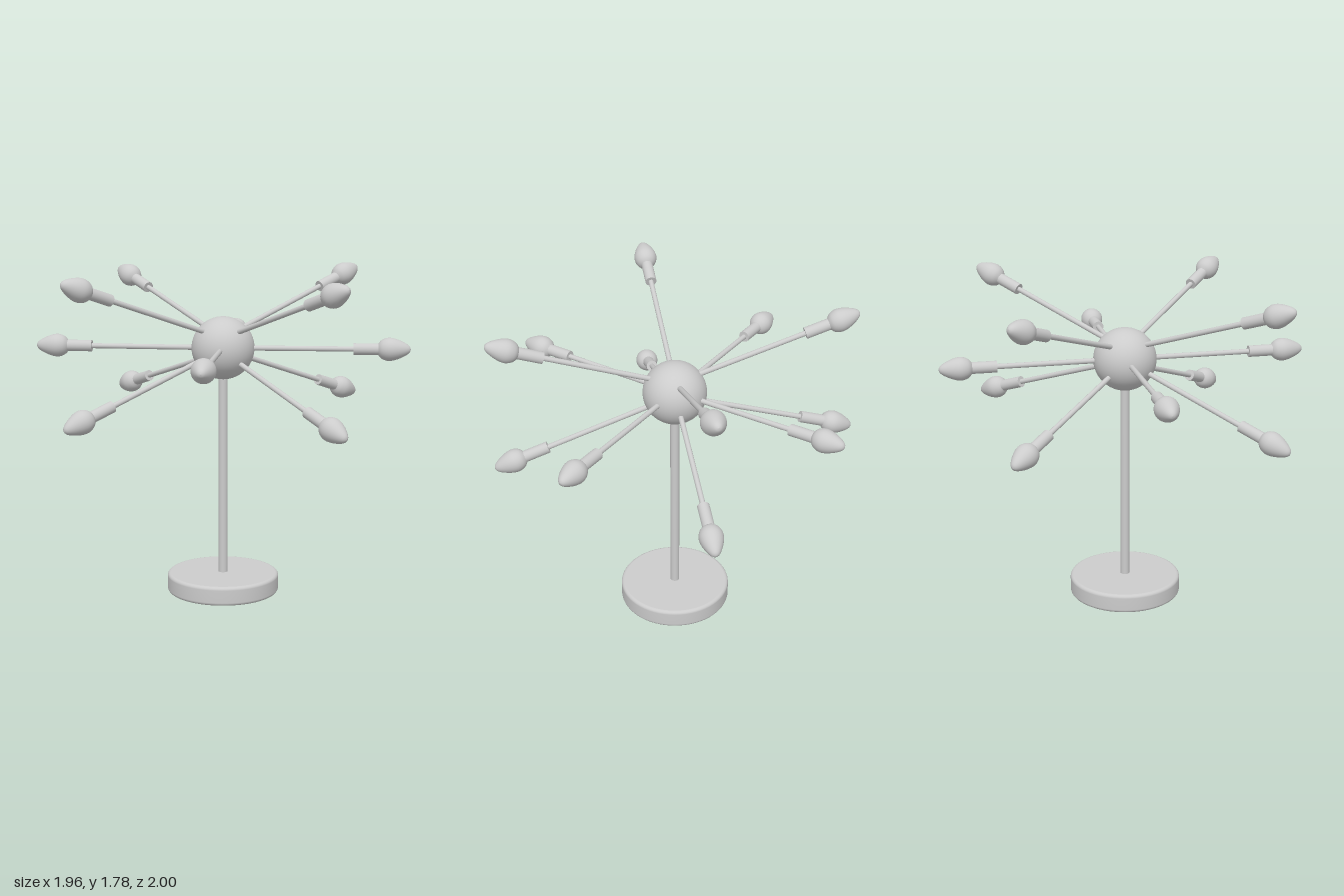
import * as THREE from 'three';

const material = new THREE.MeshStandardMaterial({ color: 0xcccccc });
const UP = new THREE.Vector3(0, 1, 0);
const CX = 0.005, CZ = -0.01, HUB_Y = 1.357;

function part(name, geometry, parent, x = 0, y = 0, z = 0) {
  const mesh = new THREE.Mesh(geometry, material);
  mesh.name = name;
  mesh.position.set(x, y, z);
  parent.add(mesh);
  return mesh;
}

// Pointed bulb: fat near the socket, rounded narrow tip, 0.175 long
function bulbGeometry() {
  const curve = new THREE.SplineCurve([
    [0.028, 0], [0.05, 0.02], [0.062, 0.055], [0.056, 0.095],
    [0.037, 0.14], [0.018, 0.167], [0, 0.175],
  ].map(([r, y]) => new THREE.Vector2(r, y)));
  const points = curve.getPoints(24);
  points.forEach((p) => { p.x = Math.max(p.x, 0); });
  return new THREE.LatheGeometry([new THREE.Vector2(0, 0), ...points], 28);
}

export function createModel() {
  const model = new THREE.Group();
  model.name = 'burstLamp';

  // Round base with softened rims
  const R = 0.307, H = 0.105, b = 0.018;
  const profile = [new THREE.Vector2(0, 0), new THREE.Vector2(R - b, 0)];
  for (let i = 0; i <= 4; i++) {
    const a = -Math.PI / 2 + (i / 4) * Math.PI / 2;
    profile.push(new THREE.Vector2(R - b + b * Math.cos(a), b + b * Math.sin(a)));
  }
  for (let i = 0; i <= 4; i++) {
    const a = (i / 4) * Math.PI / 2;
    profile.push(new THREE.Vector2(R - b + b * Math.cos(a), H - b + b * Math.sin(a)));
  }
  profile.push(new THREE.Vector2(R - b, H), new THREE.Vector2(0, H));
  part('base', new THREE.LatheGeometry(profile, 64), model, CX, 0, CZ);

  // Pole and central ball
  part('pole', new THREE.CylinderGeometry(0.025, 0.025, 1.25, 24), model, CX, 0.7, CZ);
  part('hub', new THREE.SphereGeometry(0.17, 40, 28), model, CX, HUB_Y, CZ);

  // Arms: tip x, tip y, tip z, height where the rod leaves the hub axis
  const arms = [
    [0.975, 1.735, -0.012, 1.41], [-0.98, 1.73, -0.012, 1.41],
    [0.975, 1.0, -0.012, 1.335], [-0.98, 1.035, -0.012, 1.335],
    [-0.003, 1.75, 0.995, 1.41], [-0.003, 1.75, -1.0, 1.41],
    [-0.003, 1.015, 0.995, 1.35], [-0.003, 1.02, -1.0, 1.35],
    [0.70, 1.36, -0.735, HUB_Y], [-0.715, 1.36, -0.695, HUB_Y],
    [0.715, 1.36, 0.685, HUB_Y], [-0.705, 1.36, 0.725, HUB_Y],
  ];
  const bulb = bulbGeometry();
  const socket = new THREE.CylinderGeometry(0.031, 0.031, 0.135, 24);
  for (const [x, y, z, startY] of arms) {
    const start = new THREE.Vector3(CX, startY, CZ);
    const dir = new THREE.Vector3(x, y, z).sub(start);
    const length = dir.length();
    const arm = new THREE.Group();
    arm.name = 'arm';
    arm.position.copy(start);
    arm.quaternion.setFromUnitVectors(UP, dir.normalize());
    const rodLength = length - 0.28;
    part('rod', new THREE.CylinderGeometry(0.014, 0.014, rodLength, 16), arm, 0, rodLength / 2, 0);
    part('socket', socket, arm, 0, length - 0.2375, 0);
    part('bulb', bulb, arm, 0, length - 0.175, 0);
    model.add(arm);
  }
  return model;
}
